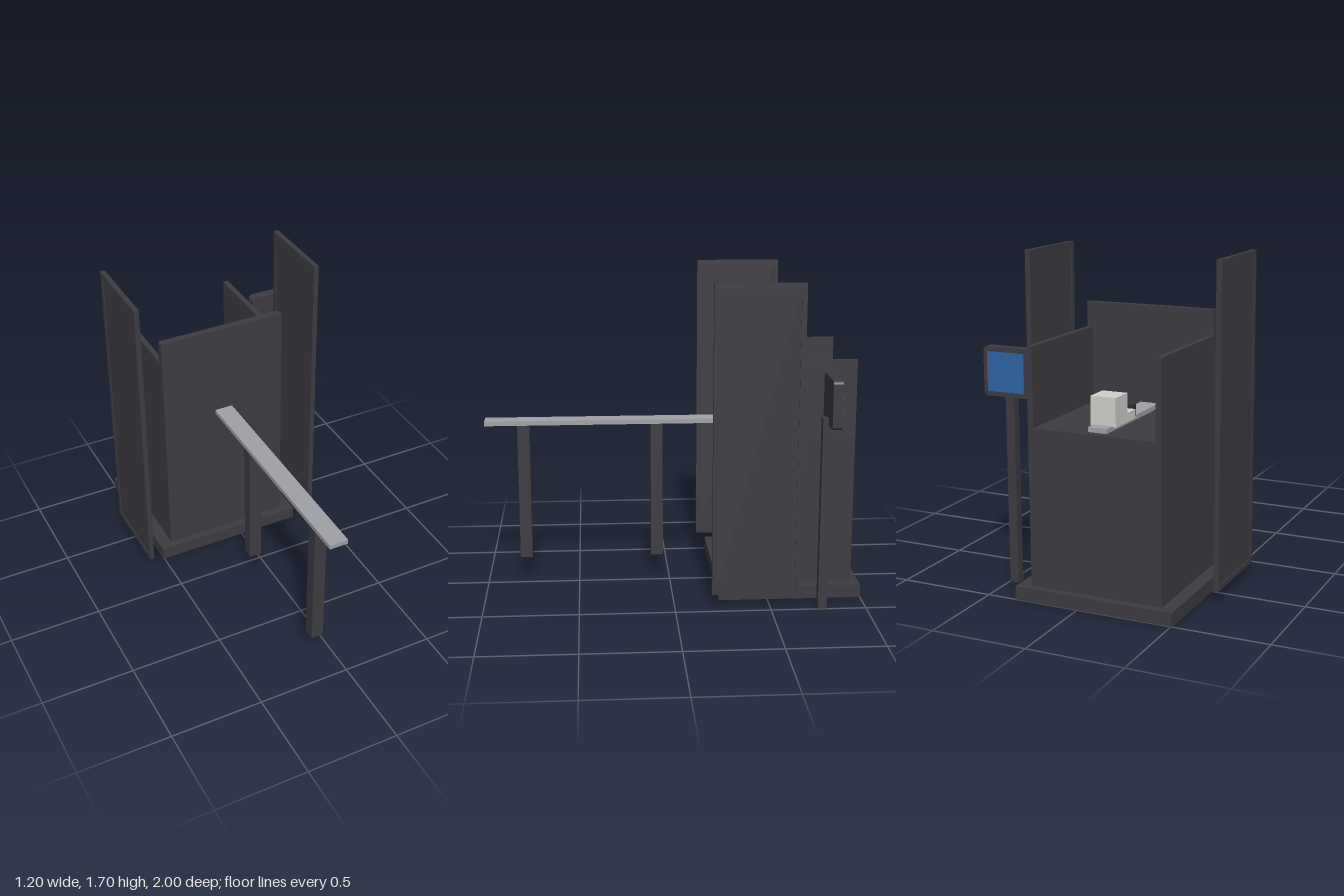
import * as THREE from 'three';

const material = (name, color) => {
  const m = new THREE.MeshStandardMaterial({ color });
  m.name = name;
  return m;
};

export function createModel() {
  const root = new THREE.Group();
  root.name = 'inspectionStation';
  const dark = material('darkGrey', 0x3c3b41);
  const steel = material('steelGrey', 0xa0a1a6);
  const white = material('offWhite', 0xd0d0cc);
  const black = material('nearBlack', 0x2c2c30);
  const blue = material('screenBlue', 0x2f64a6);

  // Box given by its low and high limits on each axis
  const box = (name, mat, [x0, x1], [y0, y1], [z0, z1], parent = root) => {
    const mesh = new THREE.Mesh(new THREE.BoxGeometry(x1 - x0, y1 - y0, z1 - z0), mat);
    mesh.position.set((x0 + x1) / 2, (y0 + y1) / 2, (z0 + z1) / 2);
    mesh.name = name;
    parent.add(mesh);
    return mesh;
  };

  // Cabinet: plinth, solid lower body, tall front wall and two side walls, open at the back
  box('plinth', dark, [-0.505, 0.345], [0, 0.07], [-1, -0.24]);
  box('cabinetBody', dark, [-0.435, 0.275], [0.07, 0.88], [-0.96, -0.325]);
  box('frontWall', dark, [-0.435, 0.275], [0.07, 1.41], [-0.325, -0.285]);
  box('rightSideWall', dark, [-0.435, -0.405], [0.88, 1.28], [-0.96, -0.325]);
  box('leftSideWall', dark, [0.245, 0.275], [0.88, 1.28], [-0.96, -0.325]);

  // Freestanding side doors: raised frame around a recessed panel
  for (const [name, x] of [['rightDoor', -0.5925], ['leftDoor', 0.4315]]) {
    const door = new THREE.Group();
    door.name = name;
    const across = [x - 0.0135, x + 0.0135];
    box('doorPanel', dark, [x - 0.008, x + 0.008], [0.097, 1.675], [-0.633, -0.222], door);
    box('doorBottomRail', dark, across, [0.07, 0.097], [-0.66, -0.195], door);
    box('doorTopRail', dark, across, [1.675, 1.703], [-0.66, -0.195], door);
    box('doorBackStile', dark, across, [0.097, 1.675], [-0.66, -0.633], door);
    box('doorFrontStile', dark, across, [0.097, 1.675], [-0.222, -0.195], door);
    root.add(door);
  }

  // Conveyor running through the front wall, on two legs
  box('conveyor', steel, [-0.132, -0.031], [0.881, 0.905], [-0.92, 1]);
  for (const z of [0.068, 0.791]) {
    box('conveyorLeg', dark, [-0.114, -0.047], [0.127, 0.881], [z - 0.033, z + 0.033]);
  }

  // Device on the conveyor with a low dark gate ahead of it
  box('deviceHead', white, [-0.15, -0.015], [0.9, 1.045], [-0.86, -0.73]);
  box('deviceFoot', white, [-0.15, -0.015], [0.9, 0.945], [-0.73, -0.64]);
  box('deviceGate', black, [-0.135, -0.03], [0.9, 0.96], [-0.64, -0.602]);

  // Monitor with rounded corners, facing the back, on a pole
  const w = 0.127, h = 0.125, r = 0.02;
  const outline = new THREE.Shape();
  outline.absarc(w - r, h - r, r, 0, Math.PI / 2);
  outline.absarc(-w + r, h - r, r, Math.PI / 2, Math.PI);
  outline.absarc(-w + r, -h + r, r, Math.PI, Math.PI * 1.5);
  outline.absarc(w - r, -h + r, r, Math.PI * 1.5, Math.PI * 2);
  const housing = new THREE.Mesh(
    new THREE.ExtrudeGeometry(outline, { depth: 0.05, bevelEnabled: false, curveSegments: 6 }), dark);
  housing.name = 'monitorHousing';
  housing.position.set(0.472, 1.11, -0.825);
  root.add(housing);
  box('monitorScreen', blue, [0.37, 0.575], [1.01, 1.21], [-0.831, -0.825]);
  box('monitorPole', dark, [0.449, 0.497], [0, 1.022], [-0.793, -0.746]);

  return root;
}
